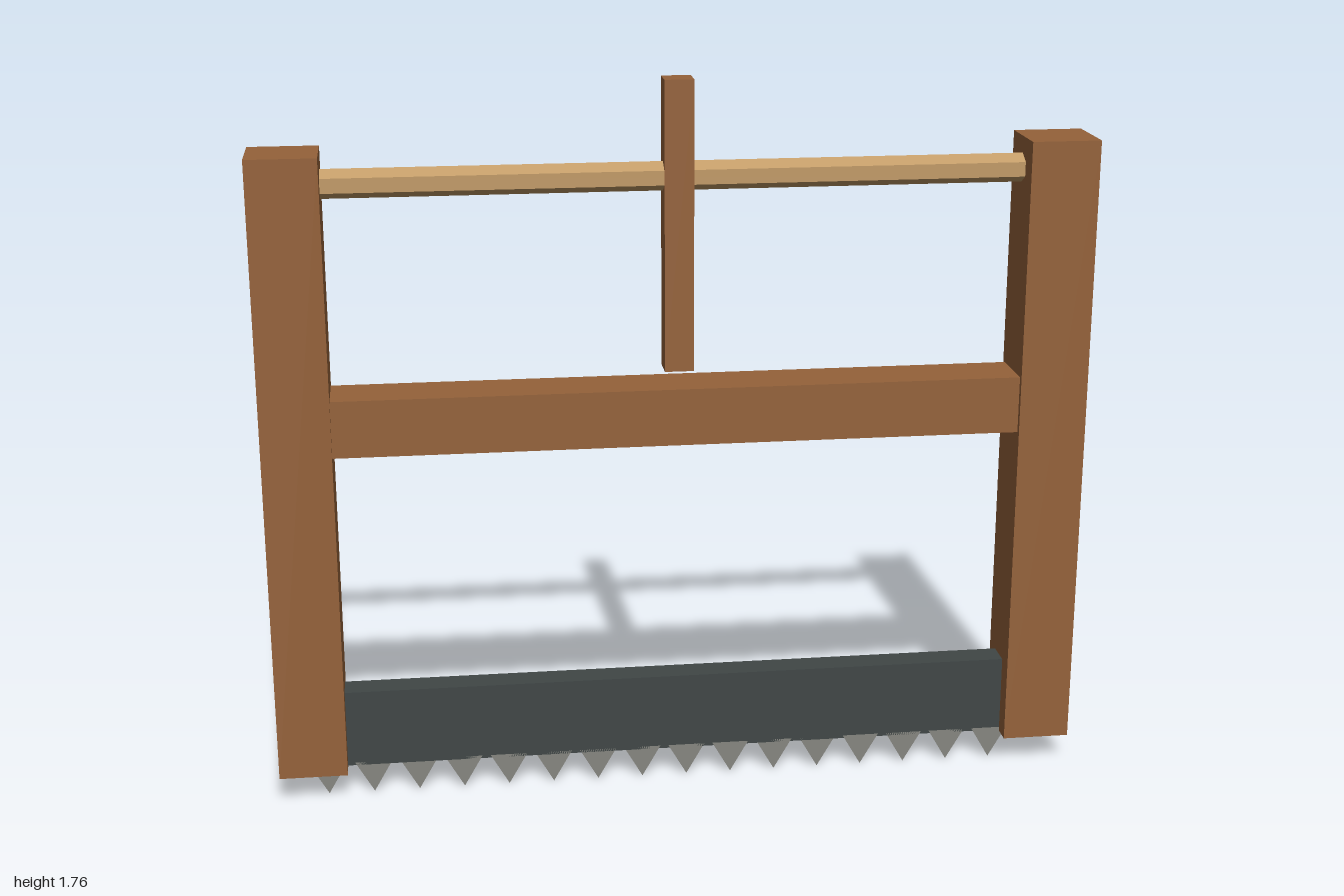
import * as THREE from 'three';

const flat = (name, color) => {
  const m = new THREE.MeshStandardMaterial({ color });
  m.name = name;
  return m;
};

export function createModel() {
  const wood = flat('brown wood', 0x95623a);
  const paleWood = flat('pale rod', 0xc19a66);
  const iron = flat('dark blade steel', 0x404746);
  const steel = flat('grey tooth steel', 0x868680);

  const model = new THREE.Group();
  model.name = 'frameSaw';

  const add = (name, geometry, material, x, y, z = 0) => {
    const mesh = new THREE.Mesh(geometry, material);
    mesh.name = name;
    mesh.position.set(x, y, z);
    model.add(mesh);
    return mesh;
  };
  const box = (w, h, d) => new THREE.BoxGeometry(w, h, d);

  // Two upright handles
  for (const side of [-1, 1]) {
    add(side > 0 ? 'leftPost' : 'rightPost', box(0.167, 1.54, 0.167), wood, side * 0.9165, 0.84);
  }

  // Crossbar, blade and tensioning paddle
  add('crossbar', box(1.67, 0.14, 0.14), wood, 0, 0.96);
  add('blade', box(1.67, 0.197, 0.07), iron, 0, 0.1715);
  add('tensionPaddle', box(0.07, 0.7, 0.07), wood, 0, 1.415);

  // Six-sided tension rod with a ridge on top
  const rod = new THREE.CylinderGeometry(0.035, 0.035, 1.67, 6).toNonIndexed();
  rod.rotateZ(Math.PI / 2);
  // Put a corner at the top rather than a flat face
  rod.computeBoundingBox();
  if (rod.boundingBox.max.y < 0.034) rod.rotateX(Math.PI / 6);
  rod.computeVertexNormals();
  add('tensionRod', rod, paleWood, 0, 1.535);

  // Sixteen triangular teeth pointing down
  const toothShape = new THREE.Shape();
  toothShape.moveTo(0, 0);
  toothShape.lineTo(0.046, 0.08);
  toothShape.lineTo(-0.046, 0.08);
  toothShape.closePath();
  const tooth = new THREE.ExtrudeGeometry(toothShape, { depth: 0.07, bevelEnabled: false });
  tooth.translate(0, 0, -0.035);
  for (let i = 0; i < 16; i++) {
    add('tooth' + (i + 1), tooth, steel, -0.882 + i * 0.1125, 0);
  }

  return model;
}
